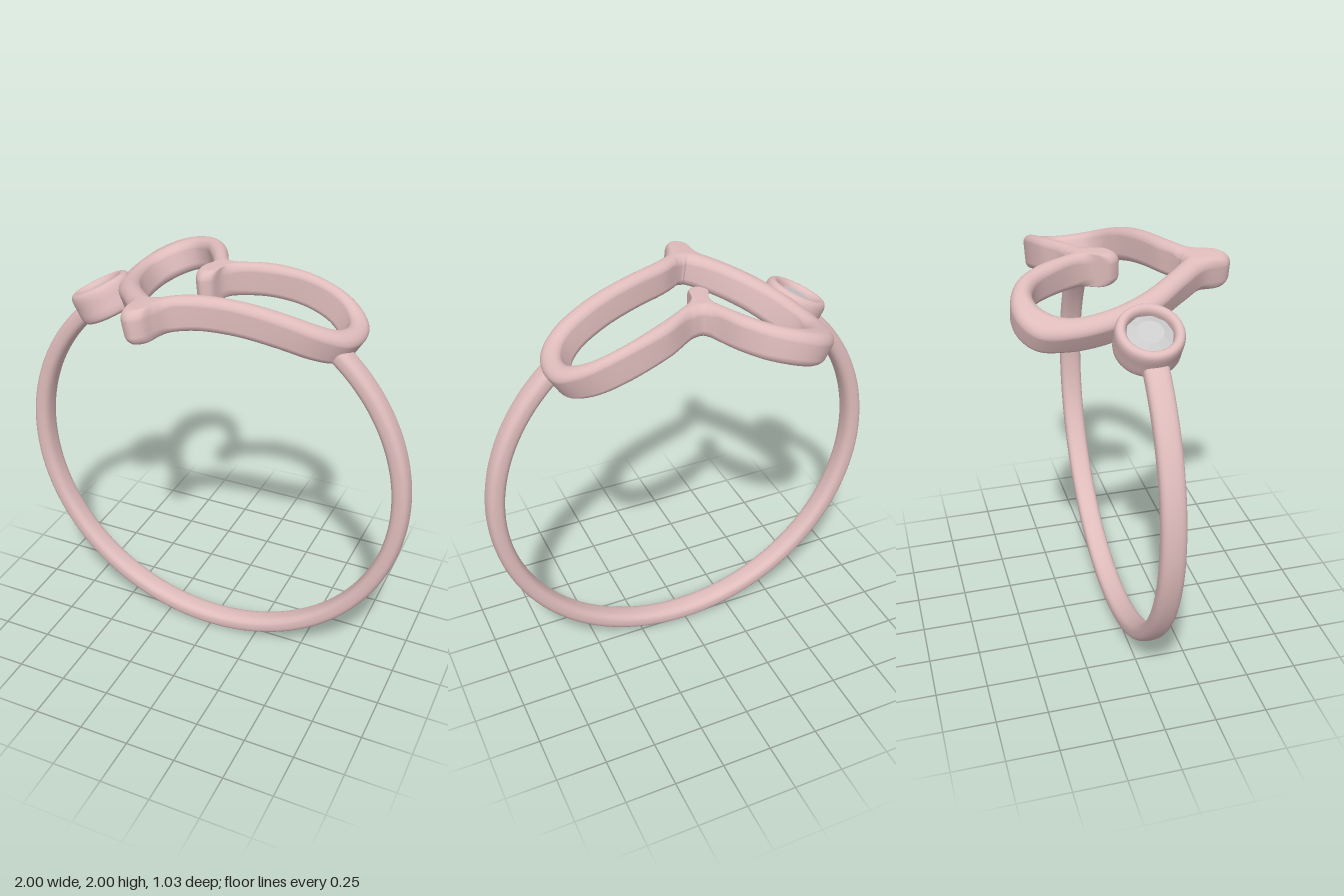
import * as THREE from 'three';

const metal = new THREE.MeshStandardMaterial({ color: 0xdfbcbc });
const stone = new THREE.MeshStandardMaterial({ color: 0xcccccc, flatShading: true });

// Open hoop with a rounded section; its ends sit in the heart and the bezel
function makeBand() {
  const profile = [];
  for (let i = 0; i <= 32; i++) {
    const a = (i / 32) * Math.PI * 2;
    const c = Math.cos(a), s = Math.sin(a);
    profile.push(new THREE.Vector2(
      0.957 + 0.043 * Math.sign(c) * Math.abs(c) ** 0.75,
      0.057 * Math.sign(s) * Math.abs(s) ** 0.75));
  }
  const geo = new THREE.LatheGeometry(profile, 140, 0.67, Math.PI * 2 - 0.67 - 0.735);
  geo.rotateX(-Math.PI / 2).translate(0, 1, 0.022);
  const band = new THREE.Mesh(geo, metal);
  band.name = 'band';
  return band;
}

// Heart-shaped loop: a rounded section swept between an outer and an inner
// outline, bent over the finger
function makeHeart() {
  // Matching outer x, z and inner x, z, from the front tip round by the right lobe
  const pairs = [
    [-0.16, 0.512, -0.13, 0.29], [-0.205, 0.485, -0.138, 0.293], [-0.222, 0.38, -0.155, 0.282],
    [-0.3, 0.27, -0.22, 0.215], [-0.42, 0.1, -0.33, 0.06], [-0.49, -0.1, -0.4, -0.1],
    [-0.515, -0.3, -0.425, -0.27], [-0.495, -0.44, -0.395, -0.36], [-0.42, -0.505, -0.345, -0.405],
    [-0.32, -0.518, -0.28, -0.415], [-0.2, -0.475, -0.21, -0.38], [-0.1, -0.37, -0.15, -0.3],
    [-0.04, -0.25, -0.085, -0.18], [-0.015, -0.215, -0.07, -0.1],
    // Inward cusp
    [-0.003, -0.202, -0.098, -0.02], [0.005, -0.2, -0.06, 0.025], [0.015, -0.2, -0.015, 0.005],
    [0.03, -0.202, 0.005, -0.07],
    // Left lobe and back to the tip
    [0.07, -0.212, 0.05, -0.12], [0.2, -0.28, 0.2, -0.2], [0.4, -0.31, 0.37, -0.245],
    [0.55, -0.28, 0.5, -0.225], [0.645, -0.195, 0.57, -0.155], [0.668, -0.08, 0.585, -0.07],
    [0.64, 0.05, 0.55, 0.02], [0.55, 0.14, 0.49, 0.07], [0.4, 0.2, 0.36, 0.12],
    [0.2, 0.25, 0.16, 0.175], [0.05, 0.295, 0, 0.225], [-0.05, 0.35, -0.08, 0.272],
    [-0.09, 0.42, -0.11, 0.287], [-0.115, 0.485, -0.12, 0.29],
  ];
  const loop = (k) => new THREE.CatmullRomCurve3(
    pairs.map((p) => new THREE.Vector3(p[k], 0, p[k + 1])), true);
  const outer = loop(0), inner = loop(2);
  const steps = pairs.length * 7, sides = 28, half = 0.08;
  const positions = [], index = [];

  for (let j = 0; j < steps; j++) {
    const o = outer.getPoint(j / steps), n = inner.getPoint(j / steps);
    const mid = o.clone().add(n).multiplyScalar(0.5);
    const w = o.distanceTo(n) / 2;
    const across = o.sub(n).normalize();
    const r = Math.min(0.05, w * 0.95);
    for (let i = 0; i < sides; i++) {
      const a = ((i + 0.5) / sides) * Math.PI * 2;
      const c = Math.cos(a), s = Math.sin(a);
      const u = r * c + Math.sign(c) * (w - r);
      const v = r * s + Math.sign(s) * (half - r);
      // The strip curves more gently on the left than on the right
      const x = mid.x + across.x * u;
      const radius = (x > 0 ? 1.36 : 1.1) - half;
      const bend = Math.asin(x / radius);
      positions.push(
        (radius + v) * Math.sin(bend),
        2 - half - radius + (radius + v) * Math.cos(bend),
        mid.z + across.z * u);
      const j2 = (j + 1) % steps, i2 = (i + 1) % sides;
      const A = j * sides + i, B = j * sides + i2, C = j2 * sides + i2, D = j2 * sides + i;
      index.push(A, B, C, A, C, D);
    }
  }
  const geo = new THREE.BufferGeometry();
  geo.setAttribute('position', new THREE.Float32BufferAttribute(positions, 3));
  geo.setIndex(index);
  geo.computeVertexNormals();
  const heart = new THREE.Mesh(geo, metal);
  heart.name = 'heart';
  return heart;
}

// Round open cup holding a faceted stone
function makeSetting() {
  const setting = new THREE.Group();
  setting.name = 'stoneSetting';

  const section = new THREE.CatmullRomCurve3([
    [0.125, -0.077], [0.143, -0.062], [0.148, 0], [0.148, 0.055], [0.138, 0.073], [0.118, 0.077],
    [0.104, 0.062], [0.1, 0.025], [0.09, -0.03], [0.09, -0.06], [0.103, -0.077],
  ].map(([x, y]) => new THREE.Vector3(x, y, 0)), true);
  const cup = new THREE.Mesh(new THREE.LatheGeometry(
    section.getPoints(44).map((v) => new THREE.Vector2(v.x, v.y)), 56), metal);
  cup.name = 'bezel';

  const gem = new THREE.Mesh(new THREE.LatheGeometry([
    [0, -0.045], [0.103, 0.03], [0.103, 0.038], [0.06, 0.058], [0, 0.058],
  ].map(([x, y]) => new THREE.Vector2(x, y)), 10), stone);
  gem.name = 'stone';

  setting.add(cup, gem);
  setting.position.set(-0.557, 1.785, 0.018);
  setting.rotation.z = 0.48;
  return setting;
}

export function createModel() {
  const ring = new THREE.Group();
  ring.name = 'ring';
  ring.add(makeBand(), makeHeart(), makeSetting());
  return ring;
}
